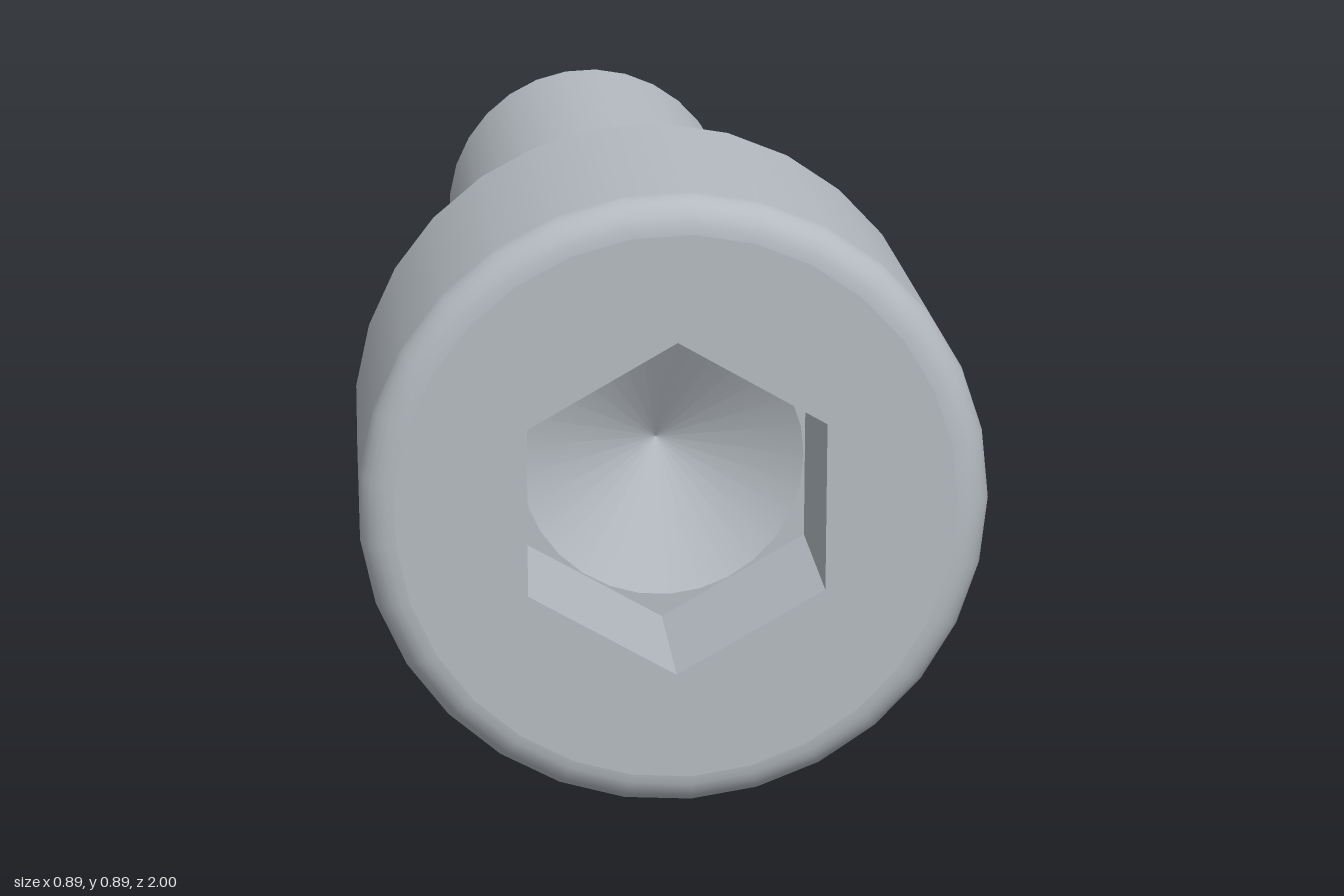
import * as THREE from 'three';

const SIDES = 29;
const HEAD_R = 0.447, SHANK_R = 0.26, BEVEL = 0.05;
const HEX_R = 0.243, CONE_R = 0.209;
const TAIL = -1, SEAT = 0.475, FRONT = 1, SOCKET_FLOOR = 0.737;

const steel = new THREE.MeshStandardMaterial({ color: 0xb4bac0 });
steel.name = 'steel';

// Points of a regular polygon; the first one lies at the start angle
function ring(radius, sides, start = 0) {
  return Array.from({ length: sides }, (_, i) => {
    const a = start + (i / sides) * Math.PI * 2;
    return new THREE.Vector2(radius * Math.cos(a), radius * Math.sin(a));
  });
}

// Surface turned about the z axis from [radius, z] points
function turned(profile, sides = SIDES, start = Math.PI / 2) {
  const points = profile.map(([r, z]) => new THREE.Vector2(r, z));
  return new THREE.LatheGeometry(points, sides, start).rotateX(Math.PI / 2);
}

// Flat front-facing plate with a hole
function plate(outer, hole, z) {
  const shape = new THREE.Shape(outer);
  shape.holes.push(new THREE.Path(hole));
  return new THREE.ShapeGeometry(shape).translate(0, 0, z);
}

export function createModel() {
  const bolt = new THREE.Group();
  bolt.name = 'socketBolt';
  const add = (name, geometry) => {
    const mesh = new THREE.Mesh(geometry, steel);
    mesh.name = name;
    bolt.add(mesh);
  };

  // Shank, from its tip to the flared neck
  add('shankTip', turned([[0, TAIL], [0.212, TAIL]]));
  add('shankChamfer', turned([[0.212, TAIL], [SHANK_R, -0.953]]));
  add('shank', turned([[SHANK_R, -0.953], [SHANK_R, 0.405]]));
  add('neckFlare', turned([[SHANK_R, 0.405], [0.269, 0.425], [0.282, 0.449], [0.3, SEAT]]));

  // Head, with a rounded front rim
  add('headUnderside', turned([[0.3, SEAT], [HEAD_R, SEAT]]));
  const wall = [[HEAD_R, SEAT]];
  for (let i = 0; i <= 6; i++) {
    const a = (i / 6) * Math.PI / 2;
    wall.push([HEAD_R - BEVEL + BEVEL * Math.cos(a), FRONT - BEVEL + BEVEL * Math.sin(a)]);
  }
  add('headWall', turned(wall));
  const hexagon = ring(HEX_R, 6, Math.PI / 2);
  add('headFace', plate(ring(HEAD_R - BEVEL, SIDES), hexagon, FRONT));

  // Hexagonal socket with a conical drill bottom
  const socket = turned([[HEX_R, FRONT], [HEX_R, SOCKET_FLOOR]], 6, 0).toNonIndexed();
  socket.computeVertexNormals();
  add('socketWalls', socket);
  add('socketFloor', plate(hexagon, ring(CONE_R, SIDES), SOCKET_FLOOR));
  add('socketCone', turned([[CONE_R, SOCKET_FLOOR], [0, SOCKET_FLOOR - 0.12]]));

  bolt.position.set(-0.001, HEAD_R, 0);
  return bolt;
}
